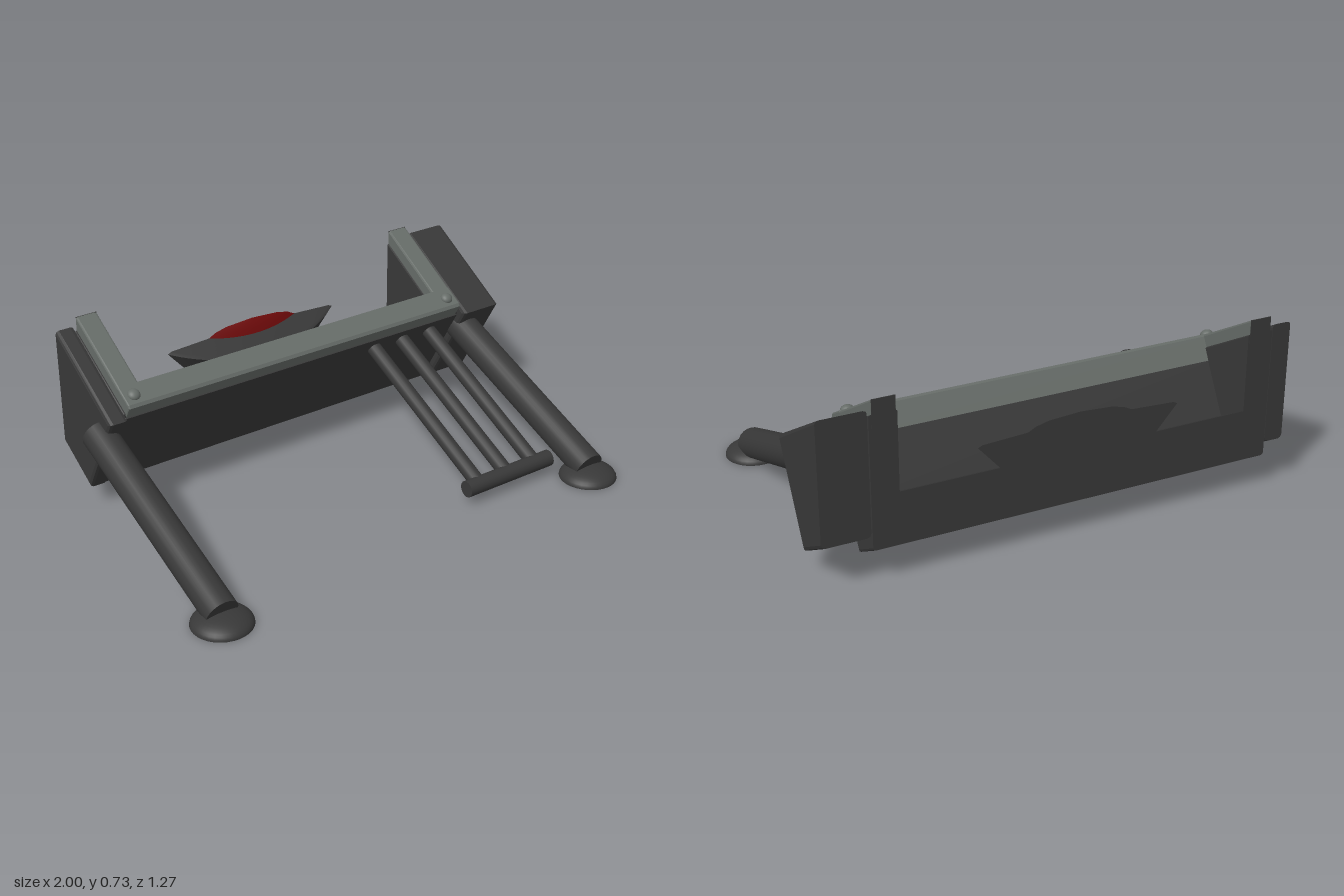
import * as THREE from 'three';

const BACK = -0.635;                 // flat vertical back plane
const SLOPE = Math.tan(Math.PI / 6); // casing leans 30 degrees
const SIN = 0.5, COS = 0.866;

const mat = (name, color, side = THREE.FrontSide) => {
  const m = new THREE.MeshStandardMaterial({ color, side });
  m.name = name;
  return m;
};

export function createModel() {
  const model = new THREE.Group();
  model.name = 'tiltedCasingOnLegs';
  const dark = mat('darkGrey', 0x383838);
  const darkSheet = dark.clone();
  darkSheet.side = THREE.DoubleSide;
  const trim = mat('trimGrey', 0x666c68);
  const red = mat('deepRed', 0x6e0a0a, THREE.DoubleSide);

  const add = (name, geometry, material) => {
    const mesh = new THREE.Mesh(geometry, material);
    mesh.name = name;
    model.add(mesh);
    return mesh;
  };

  // Prism along x from a [z, y] profile; anything past the back slides along the tilt onto the back plane
  const prism = (name, profile, x0, x1, material, bevel = 0.01) => {
    const shape = new THREE.Shape(profile.map(([z, y]) => new THREE.Vector2(-z, y)));
    const g = new THREE.ExtrudeGeometry(shape, {
      depth: x1 - x0 - 2 * bevel, bevelEnabled: true, bevelThickness: bevel,
      bevelSize: bevel, bevelOffset: -bevel, bevelSegments: 2,
    });
    g.translate(0, 0, x0 + bevel);
    g.rotateY(Math.PI / 2);
    const p = g.attributes.position;
    for (let i = 0; i < p.count; i++) {
      const over = BACK - p.getZ(i);
      if (over > 0) {
        p.setZ(i, BACK);
        p.setY(i, p.getY(i) - over * SLOPE);
      }
    }
    g.computeVertexNormals();
    return add(name, g, material);
  };
  // Point where the tilted line through (z, y) ends, safely past the back plane
  const toBack = (z, y) => [-0.7, y + (z + 0.7) * SLOPE];

  // Casing: front wall with floor, then the two side walls
  prism('casingFloor', [
    [-0.27, 0.44], [-0.49, 0.06], toBack(-0.49, 0.06), toBack(-0.49, 0.27),
    [-0.49, 0.27], [-0.376, 0.467], [-0.36, 0.49],
  ], -0.81, 0.81, dark);
  for (const s of [-1, 1]) {
    prism('casingSideWall', [
      [-0.275, 0.44], [-0.485, 0.075], toBack(-0.485, 0.075), toBack(-0.275, 0.46), [-0.275, 0.46],
    ], s > 0 ? 0.705 : -0.81, s > 0 ? 0.81 : -0.705, dark, 0.006);
  }

  // Outer side blocks, wide on the left and slim on the right
  for (const [x0, x1] of [[0.815, 1], [-0.89, -0.812]]) {
    prism('sideBlock', [
      [-0.23, 0.455], [-0.442, 0.088], toBack(-0.442, 0.088), toBack(-0.23, 0.455),
    ], x0, x1, dark, 0.015);
  }

  // Raised U-shaped trim
  prism('trimFront', [
    [-0.243, 0.492], [-0.25, 0.505], [-0.327, 0.549], [-0.335, 0.543], [-0.382, 0.46], [-0.276, 0.44],
  ], -0.8, 0.8, trim, 0.006);
  for (const s of [-1, 1]) {
    const x0 = s > 0 ? 0.71 : -0.8;
    prism('trimSide', [
      [-0.25, 0.503], [-0.293, 0.428], toBack(-0.293, 0.428), toBack(-0.25, 0.503),
    ], x0, x0 + 0.09, trim, 0.008);
    const cap = add('trimEndCap', new THREE.BoxGeometry(0.088, 0.11, 0.003), dark);
    cap.position.set(x0 + 0.045, 0.67, BACK);

    const screw = add('screw', new THREE.SphereGeometry(0.026, 16, 8, 0, Math.PI * 2, 0, Math.PI / 2), trim);
    screw.scale.y = 0.75;
    screw.rotation.x = Math.PI / 6;
    screw.position.set(s * 0.755, 0.524, -0.285);
  }

  // Round dish on the floor, each ring stopped at the back plane
  const CENTRE = 0.79;
  const cut = (h) => (0.145 + SIN * h) / COS;
  const place = (x, u, h) => [x, 0.27 + SIN * u + COS * h, -0.49 - COS * u + SIN * h];
  const ringPoint = ([r, h], t) => {
    const limit = Math.acos(Math.min(1, (CENTRE - cut(h)) / r));
    const a = t * limit;
    return place(r * Math.sin(a), CENTRE - r * Math.cos(a), h);
  };
  const dishSurface = (name, rows, material) => {
    const N = 32, pos = [], index = [];
    rows.forEach((row, j) => {
      for (let i = 0; i <= N; i++) {
        pos.push(...ringPoint(row, (2 * i) / N - 1));
        if (j && i) {
          const b = j * (N + 1) + i, a = b - N - 1;
          index.push(a - 1, a, b, a - 1, b, b - 1);
        }
      }
    });
    const g = new THREE.BufferGeometry();
    g.setAttribute('position', new THREE.Float32BufferAttribute(pos, 3));
    g.setIndex(index);
    g.computeVertexNormals();
    add(name, g, material);
  };
  const wall = [[0.7, 0], [0.703, 0.085]];
  const rim = [[0.703, 0.085], [0.69, 0.092], [0.603, 0.1]];
  const dome = [[0.603, 0.1], [0.585, 0.114], [0.565, 0.125], [CENTRE - cut(0.132), 0.132]];
  dishSurface('dishWall', wall, darkSheet);
  dishSurface('dishRim', rim, darkSheet);
  dishSurface('dishDome', dome, red);
  const half = [...wall, ...rim.slice(1), ...dome.slice(1)].map((row) => ringPoint(row, 1));
  const outline = [...half, ...half.slice(0, -1).reverse().map(([x, y]) => [-x, y])];
  const dishBack = new THREE.ShapeGeometry(new THREE.Shape(outline.map(([x, y]) => new THREE.Vector2(x, y))));
  add('dishBack', dishBack, darkSheet).position.z = BACK;

  // Round rod between two points
  const rod = (name, a, b, r, sides = 24) => {
    const A = new THREE.Vector3(...a), B = new THREE.Vector3(...b);
    const dir = B.clone().sub(A);
    const g = new THREE.CylinderGeometry(r, r, dir.length(), sides);
    g.applyQuaternion(new THREE.Quaternion().setFromUnitVectors(new THREE.Vector3(0, 1, 0), dir.normalize()));
    const mid = A.add(B).multiplyScalar(0.5);
    g.translate(mid.x, mid.y, mid.z);
    const p = g.attributes.position;
    for (let i = 0; i < p.count; i++) p.setY(i, Math.max(0.001, p.getY(i)));
    add(name, g, dark);
  };

  // Two legs with domed feet
  for (const x of [0.865, -0.885]) {
    rod('leg', [x, 0.04, 0.52], [x, 0.372, -0.345], 0.066);
    const foot = add('foot', new THREE.SphereGeometry(0.117, 32, 10, 0, Math.PI * 2, 0, Math.PI / 2), dark);
    foot.scale.y = 0.43;
    foot.position.set(x, 0, 0.518);
    const sole = add('footSole', new THREE.CircleGeometry(0.117, 32), dark);
    sole.rotation.x = Math.PI / 2;
    sole.position.set(x, 0, 0.518);
  }

  // Three slim rods ending in a crossbar
  for (const x of [0.388, 0.533, 0.678]) rod('slimRod', [x, 0.07, 0.39], [x, 0.39, -0.31], 0.031, 16);
  rod('crossbar', [0.32, 0.068, 0.402], [0.75, 0.068, 0.402], 0.034, 16);

  return model;
}
